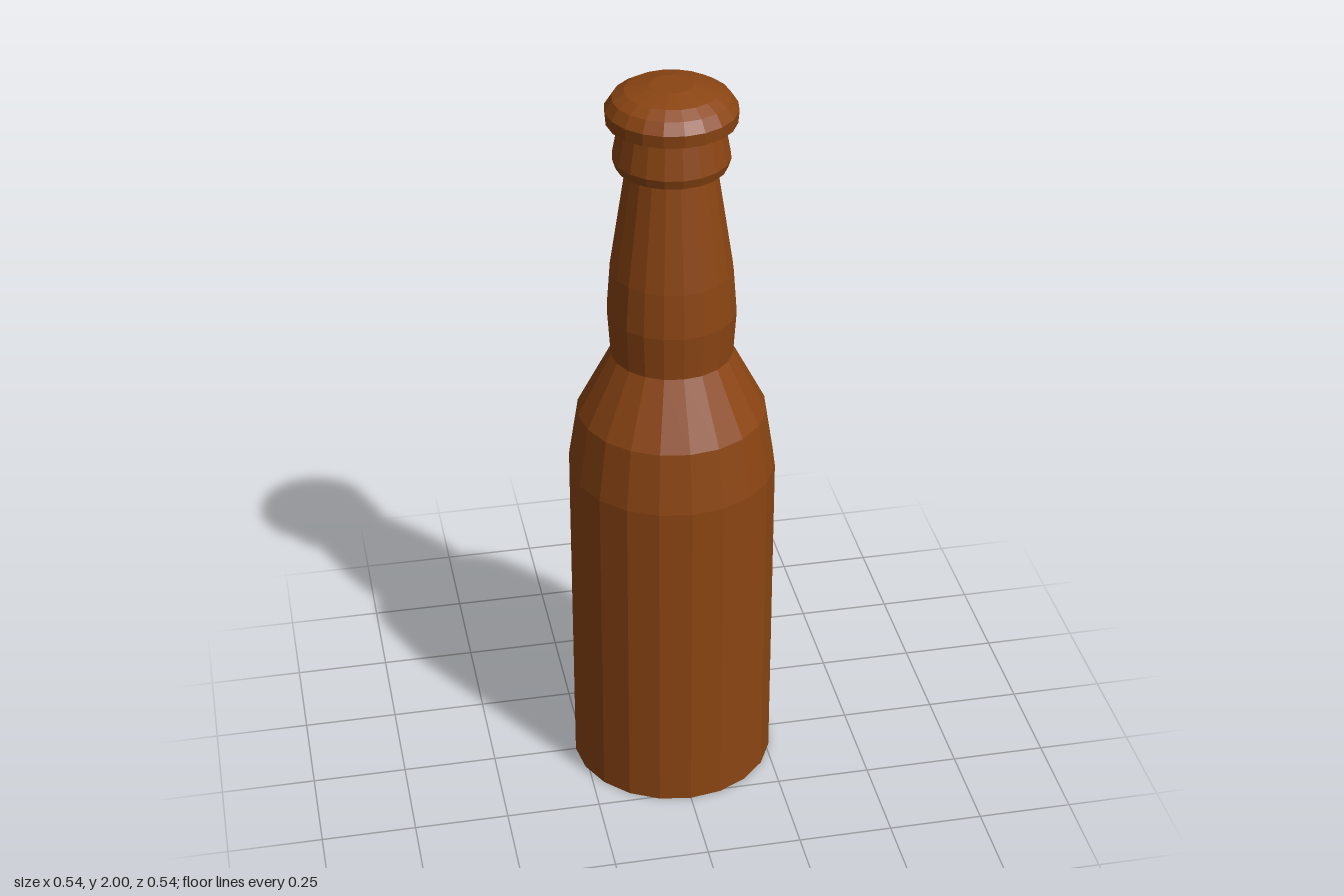
import * as THREE from 'three';

const SIDES = 20;
const glass = new THREE.MeshStandardMaterial({ color: 0x8b4513, flatShading: true });

// Turned part from [radius, height] pairs, listed bottom to top
function turned(name, profile) {
  const points = profile.map(([r, y]) => new THREE.Vector2(r, y));
  const mesh = new THREE.Mesh(new THREE.LatheGeometry(points, SIDES), glass);
  mesh.name = name;
  return mesh;
}

export function createModel() {
  const bottle = new THREE.Group();
  bottle.name = 'bottle';

  // Flat base, straight body and sloping shoulder
  bottle.add(turned('body', [
    [0, 0], [0.272, 0], [0.272, 0.925], [0.246, 1.09], [0.158, 1.26],
  ]));

  // Slightly bulging neck, tapering upwards
  bottle.add(turned('neck', [
    [0.158, 1.26], [0.166, 1.38], [0.157, 1.5], [0.113, 1.785],
  ]));

  // Collar below the cap
  bottle.add(turned('collar', [
    [0.113, 1.785], [0.14, 1.785], [0.148, 1.81], [0.13, 1.905],
  ]));

  // Overhanging rounded cap
  bottle.add(turned('cap', [
    [0.13, 1.905], [0.163, 1.905], [0.166, 1.938], [0.147, 1.967],
    [0.117, 1.985], [0.053, 2], [0, 2],
  ]));

  return bottle;
}
